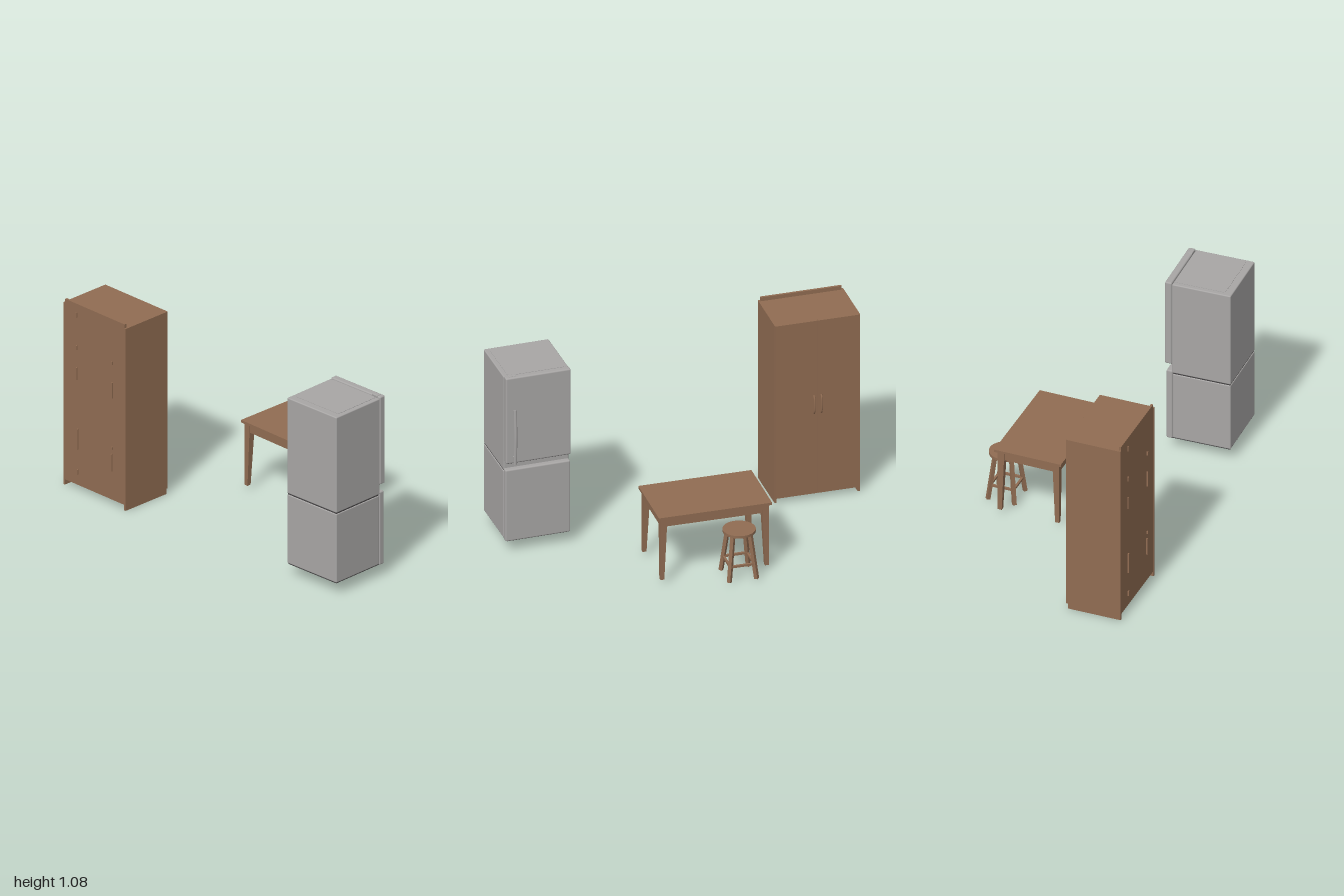
import * as THREE from 'three';
import { RoundedBoxGeometry } from 'three/addons/geometries/RoundedBoxGeometry.js';

const mat = (name, color) => new THREE.MeshStandardMaterial({ name, color });
const wood = mat('brown wood', 0x906c52);
const steel = mat('grey enamel', 0xa8a6a5);
const dark = mat('dark underside', 0x454344);

function add(parent, name, geometry, material) {
  const mesh = new THREE.Mesh(geometry, material);
  mesh.name = name;
  parent.add(mesh);
  return mesh;
}

// Box given by its limits on each axis; radius rounds the edges
function box(parent, name, material, [x0, x1], [y0, y1], [z0, z1], radius = 0) {
  const s = [x1 - x0, y1 - y0, z1 - z0];
  const g = radius ? new RoundedBoxGeometry(...s, 2, radius) : new THREE.BoxGeometry(...s);
  g.translate((x0 + x1) / 2, (y0 + y1) / 2, (z0 + z1) / 2);
  return add(parent, name, g, material);
}

// Straight square bar between two points
function bar(parent, name, material, a, b, thick) {
  const from = new THREE.Vector3(...a), to = new THREE.Vector3(...b);
  const mesh = add(parent, name, new THREE.BoxGeometry(thick, thick, from.distanceTo(to)), material);
  mesh.position.copy(from).lerp(to, 0.5);
  mesh.lookAt(to);
  return mesh;
}

function tube(parent, name, material, points, radius) {
  const curve = new THREE.CatmullRomCurve3(points.map(p => new THREE.Vector3(...p)));
  return add(parent, name, new THREE.TubeGeometry(curve, 24, radius, 8), material);
}

function makeWardrobe() {
  const g = new THREE.Group();
  g.name = 'wardrobe';
  box(g, 'carcass', wood, [-0.985, -0.54], [0.035, 1.06], [0.246, 0.53]);
  box(g, 'leftSide', wood, [-0.54, -0.529], [0.005, 1.06], [0.246, 0.545]);
  box(g, 'rightSide', wood, [-0.997, -0.985], [0.005, 1.06], [0.246, 0.545]);
  box(g, 'backPanel', wood, [-0.985, -0.54], [0.035, 1.082], [0.53, 0.543]);
  // Pair of doors with upright pulls
  for (const s of [-1, 1]) {
    const edges = [-0.763 + s * 0.001, -0.763 + s * 0.233].sort((a, b) => a - b);
    box(g, 'door', wood, edges, [0.035, 1.06], [0.236, 0.246]);
    const x = -0.763 + s * 0.02;
    tube(g, 'doorPull', wood, [[x, 0.51, 0.238], [x, 0.53, 0.227], [x, 0.6, 0.227], [x, 0.62, 0.238]], 0.005);
  }
  // Small raised fittings on the panel
  const fittings = [[-0.895, 1.02, 0.03], [-0.895, 0.83, 0.025], [-0.895, 0.68, 0.07],
    [-0.89, 0.3, 0.12], [-0.89, 0.11, 0.03], [-0.63, 0.83, 0.02], [-0.63, 0.67, 0.09],
    [-0.63, 0.335, 0.015], [-0.635, 0.25, 0.1]];
  for (const [x, y, h] of fittings)
    box(g, 'fitting', wood, [x - 0.004, x + 0.004], [y - h / 2, y + h / 2], [0.54, 0.551]);
  return g;
}

function makeFridge() {
  const g = new THREE.Group();
  g.name = 'fridge';
  const w = [-0.18, 0.18];
  box(g, 'lowerBody', steel, w, [0.078, 0.477], [-0.14, 0.185], 0.006);
  box(g, 'upperBody', steel, w, [0.483, 1.037], [-0.145, 0.185], 0.006);
  box(g, 'seam', dark, [-0.176, 0.176], [0.47, 0.49], [-0.136, 0.181]);
  box(g, 'topPanel', steel, [-0.155, 0.155], [1.03, 1.039], [-0.14, 0.145]);
  box(g, 'lowerDoor', steel, w, [0.071, 0.495], [-0.176, -0.141], 0.008);
  box(g, 'upperDoor', steel, w, [0.536, 1.044], [-0.185, -0.146], 0.008);
  box(g, 'upperDoorUnderside', dark, [-0.17, 0.17], [0.534, 0.538], [-0.177, -0.15]);
  box(g, 'underside', dark, [-0.174, 0.174], [0.073, 0.08], [-0.14, 0.18]);
  box(g, 'lowerDoorUnderside', dark, [-0.17, 0.17], [0.069, 0.074], [-0.168, -0.14]);
  // Hinge cap above the door and bowed handle
  box(g, 'hingeCap', steel, [0.12, 0.16], [1.035, 1.048], [-0.17, -0.145], 0.004);
  const x = 0.135;
  tube(g, 'handle', steel, [[x, 0.54, -0.203], [x, 0.6, -0.206], [x, 0.7, -0.21], [x, 0.8, -0.206], [x, 0.86, -0.203]], 0.009);
  for (const y of [0.56, 0.83])
    box(g, 'handlePost', steel, [x - 0.007, x + 0.007], [y, y + 0.02], [-0.205, -0.18]);
  g.position.set(0.81, 0, 0.31);
  g.rotation.y = 0.028;
  return g;
}

function makeTable() {
  const g = new THREE.Group();
  g.name = 'table';
  box(g, 'tableTop', wood, [-0.31, 0.31], [0.39, 0.404], [-0.19, 0.19]);
  const hx = 0.297, hz = 0.175;
  for (const s of [-1, 1]) {
    const ends = (a, b) => [s * a, s * b].sort((p, q) => p - q);
    box(g, 'longApron', wood, [-0.285, 0.285], [0.34, 0.39], ends(hz - 0.018, hz - 0.004));
    box(g, 'shortApron', wood, ends(hx - 0.018, hx - 0.004), [0.34, 0.39], [-0.165, 0.165]);
    // Legs taper on their inner faces
    for (const t of [-1, 1]) {
      const leg = new THREE.BoxGeometry(0.038, 0.362, 0.038);
      const p = leg.attributes.position;
      for (let i = 0; i < p.count; i++) {
        if (p.getY(i) > 0) continue;
        if (p.getX(i) * s < 0) p.setX(i, -s * 0.002);
        if (p.getZ(i) * t < 0) p.setZ(i, -t * 0.004);
      }
      leg.computeVertexNormals();
      add(g, 'tableLeg', leg, wood).position.set(s * (hx - 0.019), 0.209, t * (hz - 0.019));
    }
  }
  g.position.set(0.01, 0, -0.267);
  g.rotation.y = -0.008;
  return g;
}

function makeStool() {
  const g = new THREE.Group();
  g.name = 'stool';
  const seat = add(g, 'stoolSeat', new THREE.CylinderGeometry(0.088, 0.088, 0.014, 32), wood);
  seat.position.set(0, 0.278, -0.006);
  const corners = [[1, 1], [-1, 1], [-1, -1], [1, -1]];
  const spread = y => 0.076 - 0.03 * y / 0.275;
  // Splayed legs joined by rungs and seat rails
  corners.forEach(([x, z], i) => {
    const [nx, nz] = corners[(i + 1) % 4];
    const at = (cx, cz, y) => [cx * spread(y), y, cz * spread(y)];
    bar(g, 'stoolLeg', wood, at(x, z, 0.011), at(x, z, 0.272), 0.02);
    bar(g, 'stoolRung', wood, at(x, z, 0.095), at(nx, nz, 0.095), 0.012);
    bar(g, 'seatRail', wood, at(x, z, 0.262), at(nx, nz, 0.262), 0.016);
  });
  g.position.set(-0.114, 0, -0.464);
  return g;
}

export function createModel() {
  const model = new THREE.Group();
  model.name = 'kitchenFurniture';
  model.add(makeWardrobe(), makeFridge(), makeTable(), makeStool());
  return model;
}
